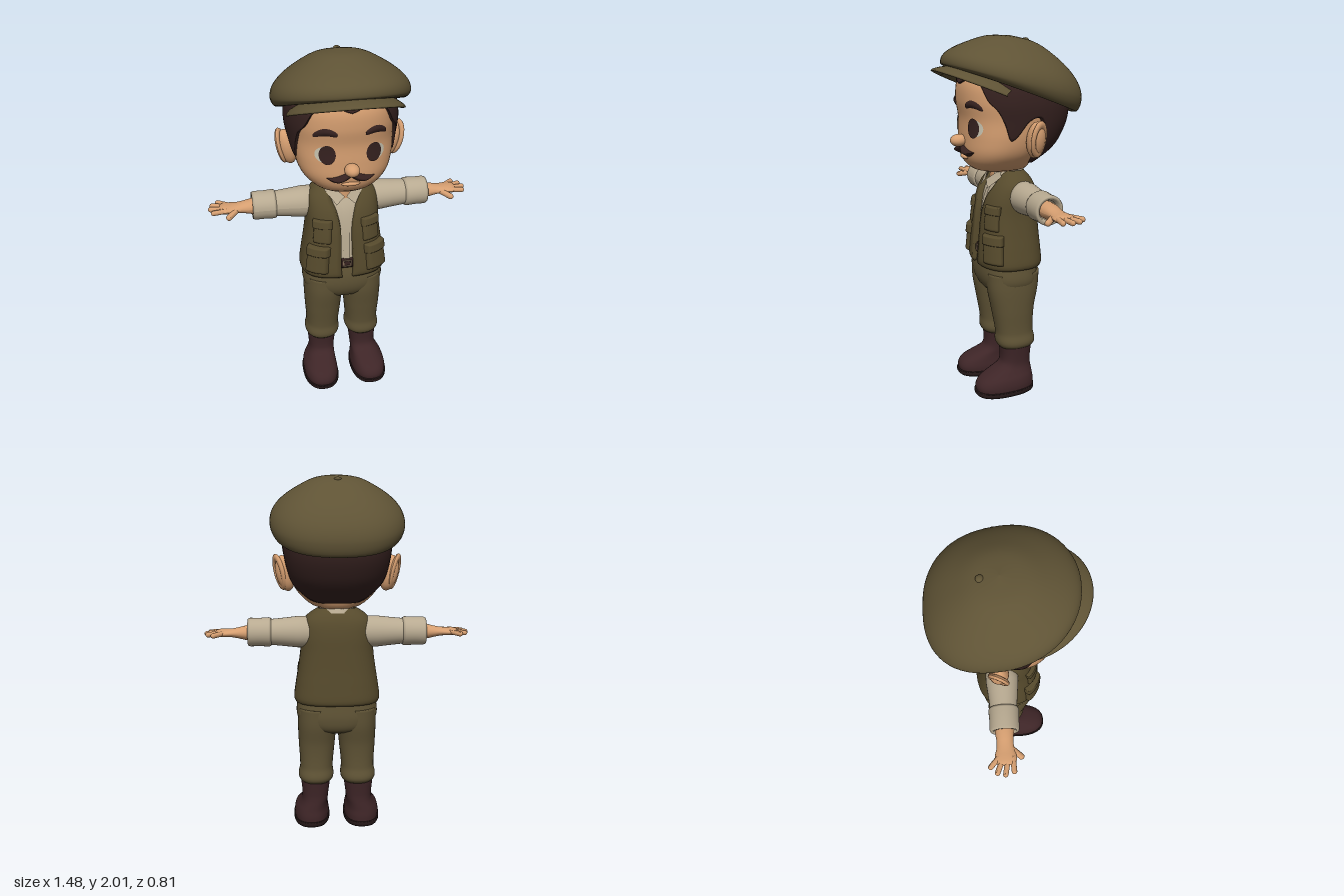
import * as THREE from 'three';

const mat = (name, color, side = THREE.FrontSide) => {
  const m = new THREE.MeshStandardMaterial({ color, side });
  m.name = name;
  return m;
};

// Smooth interpolation of column k in rows sorted by their first value
function sample(rows, y, k) {
  const last = rows.length - 1;
  if (y <= rows[0][0]) return rows[0][k];
  if (y >= rows[last][0]) return rows[last][k];
  let i = 0;
  while (rows[i + 1][0] < y) i++;
  const slope = (j) => {
    const a = rows[Math.max(j - 1, 0)], b = rows[Math.min(j + 1, last)];
    return (b[k] - a[k]) / (b[0] - a[0]);
  };
  const h = rows[i + 1][0] - rows[i][0], t = (y - rows[i][0]) / h, t2 = t * t, t3 = t2 * t;
  return (2 * t3 - 3 * t2 + 1) * rows[i][k] + (t3 - 2 * t2 + t) * h * slope(i)
    + (3 * t2 - 2 * t3) * rows[i + 1][k] + (t3 - t2) * h * slope(i + 1);
}

// Grid surface; fn(u, v) returns [x, y, z]
function grid(fn, nu, nv, closed = false) {
  const pos = [], idx = [], w = closed ? nu : nu + 1;
  for (let j = 0; j <= nv; j++) for (let i = 0; i < w; i++) pos.push(...fn(i / nu, j / nv));
  for (let j = 0; j < nv; j++) for (let i = 0; i < nu; i++) {
    const a = j * w + i, b = j * w + ((i + 1) % w), c = b + w, d = a + w;
    idx.push(a, b, c, a, c, d);
  }
  const g = new THREE.BufferGeometry();
  g.setAttribute('position', new THREE.Float32BufferAttribute(pos, 3));
  g.setIndex(idx);
  g.computeVertexNormals();
  return g;
}

// Profile rows are [y, half width, front z, back z, centre x]; phi runs from +z to +x
const spow = (v, p) => Math.sign(v) * Math.pow(Math.abs(v), p);
function ringPoint(rows, y, phi, n = 2.3, inset = 0) {
  const zf = sample(rows, y, 2), zb = sample(rows, y, 3), cx = rows[0].length > 4 ? sample(rows, y, 4) : 0;
  return [cx + (sample(rows, y, 1) - inset) * spow(Math.sin(phi), 2 / n), y,
    (zf + zb) / 2 + ((zf - zb) / 2 - inset) * spow(Math.cos(phi), 2 / n)];
}
function frontZ(rows, x, y, n = 2.3) {
  const zf = sample(rows, y, 2), zb = sample(rows, y, 3), r = Math.min(Math.abs(x) / sample(rows, y, 1), 1);
  return (zf + zb) / 2 + (zf - zb) / 2 * Math.pow(1 - Math.pow(r, n), 1 / n);
}
// Closed body through a profile, with both ends capped
function loft(rows, n = 2.3, inset = 0, y0 = rows[0][0], y1 = rows[rows.length - 1][0], nv = 36) {
  return grid((u, v) => {
    const j = Math.round(v * (nv + 2)) - 1;
    const y = y0 + (y1 - y0) * Math.min(Math.max(j / nv, 0), 1);
    const p = ringPoint(rows, y, u * Math.PI * 2, n, inset);
    if (j >= 0 && j <= nv) return p;
    const f = ringPoint(rows, y, 0, n, inset), b = ringPoint(rows, y, Math.PI, n, inset);
    return [f[0], y, (f[2] + b[2]) / 2];
  }, 48, nv + 2, true);
}

const HEAD = [[1.285, 0.08, 0.13, -0.09], [1.3, 0.135, 0.185, -0.11], [1.34, 0.19, 0.228, -0.13], [1.4, 0.237, 0.248, -0.16],
  [1.48, 0.262, 0.25, -0.21], [1.58, 0.272, 0.248, -0.26], [1.68, 0.278, 0.262, -0.28], [1.78, 0.265, 0.25, -0.28], [1.86, 0.2, 0.19, -0.22]];
const HAIR = [[1.325, 0.15, 0.2, -0.15], [1.37, 0.2, 0.235, -0.21], [1.42, 0.248, 0.255, -0.26], [1.48, 0.274, 0.262, -0.3],
  [1.58, 0.294, 0.262, -0.338], [1.68, 0.302, 0.274, -0.34], [1.78, 0.28, 0.264, -0.32], [1.86, 0.21, 0.2, -0.23]];
const HAIRLINE = [[0, 1.765], [10, 1.785], [28, 1.79], [38, 1.76], [46, 1.69], [56, 1.64], [64, 1.56], [72, 1.485], [78, 1.5],
  [86, 1.58], [96, 1.6], [102, 1.54], [108, 1.38], [125, 1.335], [180, 1.33]];
const VEST = [[0.755, 0.237, 0.18, -0.175], [0.775, 0.245, 0.186, -0.181], [0.85, 0.236, 0.182, -0.176], [0.95, 0.22, 0.173, -0.167],
  [1.05, 0.207, 0.162, -0.16], [1.15, 0.203, 0.14, -0.152], [1.22, 0.19, 0.104, -0.136], [1.265, 0.148, 0.065, -0.11], [1.29, 0.105, 0.04, -0.085]];
const OPENING = [[0.755, 0.03], [0.8, 0.036], [1.05, 0.036], [1.15, 0.058], [1.22, 0.085], [1.29, 0.07]];
const HIPS = [[0.575, 0.1, 0.09, -0.1], [0.6, 0.18, 0.13, -0.14], [0.66, 0.227, 0.162, -0.158], [0.74, 0.228, 0.168, -0.155], [0.84, 0.205, 0.15, -0.145]];
const LEG = [[0.268, 0.082, 0.085, -0.1, 0.122], [0.285, 0.097, 0.1, -0.118, 0.122], [0.31, 0.102, 0.106, -0.122, 0.122],
  [0.36, 0.095, 0.104, -0.112, 0.12], [0.5, 0.105, 0.128, -0.118, 0.117], [0.62, 0.112, 0.15, -0.142, 0.114], [0.72, 0.112, 0.155, -0.15, 0.112]];
const BOOT = [[0.025, 0.1, 0.238, -0.105, 0.148], [0.06, 0.101, 0.24, -0.105, 0.148], [0.095, 0.094, 0.218, -0.1, 0.146],
  [0.125, 0.083, 0.165, -0.097, 0.138], [0.155, 0.076, 0.102, -0.094, 0.13], [0.19, 0.076, 0.08, -0.093, 0.127], [0.288, 0.087, 0.083, -0.101, 0.125]];
const SOLE = [[0, 0.1, 0.236, -0.103, 0.148], [0.012, 0.106, 0.246, -0.108, 0.148], [0.032, 0.106, 0.246, -0.108, 0.148]];
const CROWN = [[0.6, 0], [0.8, -0.035], [0.93, -0.042], [1, 0], [0.965, 0.06], [0.83, 0.12], [0.6, 0.18], [0.33, 0.228], [0, 0.245]];

export function createModel() {
  const root = new THREE.Group();
  const olive = mat('olive cloth', 0x5f5335), vestOlive = mat('vest cloth', 0x564a2c, THREE.DoubleSide);
  const linen = mat('linen', 0xb8aa91, THREE.DoubleSide), skin = mat('skin', 0xd59e70);
  const hairBrown = mat('dark hair', 0x35211f, THREE.DoubleSide), leather = mat('boot leather', 0x3e2527);
  const rubber = mat('sole', 0x261919), white = mat('eye white', 0xc9c4b0), brass = mat('buckle', 0x86705a);

  const add = (name, geo, m) => {
    const mesh = new THREE.Mesh(geo, m);
    mesh.name = name;
    root.add(mesh);
  };
  // Adds a part on the +x side and its mirror image
  const pair = (name, geo, m) => {
    add(name + 'Left', geo, m);
    const g = geo.clone().scale(-1, 1, 1), ix = g.index.array;
    for (let i = 0; i < ix.length; i += 3) [ix[i], ix[i + 1]] = [ix[i + 1], ix[i]];
    g.computeVertexNormals();
    add(name + 'Right', g, m);
  };
  const ball = (x, y, z, sx, sy, sz, rz = 0) =>
    new THREE.SphereGeometry(1, 28, 18).scale(sx, sy, sz).rotateZ(rz).translate(x, y, z);

  // Head, nose, lip, ears, neck
  add('head', loft(HEAD), skin);
  add('nose', ball(0, 1.462, 0.272, 0.04, 0.034, 0.048), skin);
  add('lip', ball(0, 1.372, 0.24, 0.05, 0.012, 0.016), skin);
  pair('ear', ball(0.287, 1.485, -0.052, 0.05, 0.1, 0.05, -0.22), skin);
  pair('earRim', new THREE.TorusGeometry(0.045, 0.013, 10, 28).scale(1, 1.75, 1).rotateY(Math.PI / 2 + 0.45)
    .rotateZ(-0.22).translate(0.317, 1.492, -0.055), skin);
  add('neck', new THREE.CylinderGeometry(0.075, 0.08, 0.18, 28).translate(0, 1.27, 0.005), skin);

  // Hair shell with a cut hairline and sideburns
  add('hair', grid((u, v) => {
    const phi = u * Math.PI * 2, deg = 180 - Math.abs(180 - u * 360), low = sample(HAIRLINE, deg, 1);
    const t = Math.max(0, (v * 25 - 1) / 24);
    return ringPoint(HAIR, low + (1.86 - low) * t, phi, 2.3, v === 0 ? 0.045 : 0);
  }, 144, 25, true), hairBrown);

  // Painted face details that hug the head
  const faceStrip = (x0, x1, mid, half, lift, bulge = 0) => grid((u, v) => {
    const s = 0.5 - 0.5 * Math.cos(u * Math.PI), x = x0 + (x1 - x0) * s, y = mid(s) + half(s) * (2 * v - 1);
    return [x, y, frontZ(HEAD, x, y) + lift + bulge * Math.sin(v * Math.PI) * Math.sin(s * Math.PI * 0.85 + 0.3)];
  }, 22, 8);
  const oval = (s) => Math.sqrt(Math.max(0, 1 - (2 * s - 1) ** 2));
  pair('eyeWhite', faceStrip(0.08, 0.182, () => 1.54, (s) => 0.044 * oval(s), 0.003), white);
  pair('eye', faceStrip(0.08, 0.163, () => 1.54, (s) => 0.052 * oval(s), 0.006), hairBrown);
  pair('eyebrow', faceStrip(0.072, 0.19, (s) => 1.652 + 0.028 * Math.sin(s * 2.6) - 0.024 * s,
    (s) => 0.02 * Math.pow(oval(s), 0.6), 0.004, 0.008), hairBrown);
  pair('moustache', faceStrip(0, 0.126, (s) => 1.432 - 0.03 * Math.sin(s * 2.4),
    (s) => 0.008 + 0.018 * Math.sin(Math.PI * Math.min(1, s * 0.85 + 0.15)) - 0.008 * s, 0.003, 0.03), hairBrown);

  // Flat cap: tilted crown, brim, button
  const crownCurve = new THREE.SplineCurve(CROWN.map(([s, h]) => new THREE.Vector2(s, h)));
  add('capCrown', grid((u, v) => {
    const { x: s, y: h } = crownCurve.getPoint(v), phi = u * Math.PI * 2, c = Math.cos(phi), e = 2 / (c > 0 ? 2.05 : 2.4);
    const d = s * spow(c, e);
    return [0.366 * s * spow(Math.sin(phi), e), 1.765 + 0.105 * d + h * (1 - (h < 0 ? 0.8 : 0.22) * d), -0.03 + 0.376 * d];
  }, 64, 40, true), olive);
  add('capBrim', grid((u, v) => {
    const w = u * Math.PI * 2, a = (1 - 2 * v) * 1.48, k = 0.5 + 0.5 * Math.cos(w);
    const rx = 0.25 + 0.06 * k, z = 0.03 + 0.06 * k + (0.19 + 0.125 * k) * Math.cos(a);
    return [rx * Math.sin(a), 1.837 - 0.125 * (1 - Math.cos(a)) + 0.012 * (1 - k) + 0.015 * Math.sin(w), z];
  }, 16, 40, true), olive);
  add('capButton', ball(0, 1.985, -0.12, 0.02, 0.013, 0.02), olive);

  // Shirt, placket, collar
  add('shirt', loft(VEST, 2.6, 0.03, 0.8), linen);
  add('placket', grid((u, v) => {
    const x = (u - 0.5) * 0.036, y = 0.86 + 0.35 * v;
    return [x, y, frontZ(VEST, x, y, 2.6) - 0.023];
  }, 2, 16), linen);
  add('collarBand', grid((u, v) => {
    const phi = 0.45 + u * (Math.PI * 2 - 0.9), r = 0.112 - 0.022 * v, z = r * Math.cos(phi);
    return [r * Math.sin(phi), 1.245 + 0.05 * v - 0.22 * z, z];
  }, 40, 3), linen);
  const flap = new THREE.Shape([[0.004, 1.235], [0.052, 1.192], [0.108, 1.262], [0.084, 1.298]].map((p) => new THREE.Vector2(...p)));
  const flapGeo = new THREE.ShapeGeometry(flap), fp = flapGeo.attributes.position;
  for (let i = 0; i < fp.count; i++) {
    const x = fp.getX(i), y = fp.getY(i);
    fp.setZ(i, 0.138 - 0.5 * (y - 1.19) - 3 * x * x);
  }
  flapGeo.computeVertexNormals();
  pair('collarFlap', flapGeo, linen);

  // Open vest with turned-in edges
  add('vest', grid((u, v) => {
    const j = v * 37 - 1, i = u * 66 - 1, y = 0.755 + 0.535 * Math.max(0, j / 36);
    const ratio = Math.min(0.95, sample(OPENING, y, 1) / sample(VEST, y, 1));
    const phi0 = Math.asin(Math.pow(ratio, 1.3)), t = Math.min(1, Math.max(0, i / 64));
    const turned = j < -0.5 || i < -0.5 || i > 64.5;
    return ringPoint(VEST, y, phi0 + t * (Math.PI * 2 - 2 * phi0), 2.6, turned ? 0.028 : 0);
  }, 66, 37), vestOlive);

  // Raised vest pockets and their flaps
  const pad = (y0, y1, a0, a1, lift) => grid((u, v) => {
    const soft = (t) => Math.min(1, Math.min(t, 1 - t) * 9);
    const out = lift * Math.sqrt(soft(u) * soft(v));
    return ringPoint(VEST, y0 + (y1 - y0) * v, a0 + (a1 - a0) * u, 2.6, 0.004 - out);
  }, 20, 20);
  pair('lowerPocket', pad(0.785, 0.92, 0.36, 1.1, 0.024), vestOlive);
  pair('lowerPocketFlap', pad(0.895, 0.955, 0.33, 1.13, 0.032), vestOlive);
  pair('upperPocket', pad(0.97, 1.085, 0.32, 0.95, 0.016), vestOlive);
  pair('upperPocketFlap', pad(1.06, 1.112, 0.29, 0.98, 0.023), vestOlive);

  // Belt and buckle
  add('belt', loft(VEST, 2.6, 0.02, 0.81, 0.865, 4), hairBrown);
  add('buckle', new THREE.TorusGeometry(0.024, 0.005, 8, 4).rotateZ(Math.PI / 4).scale(1.25, 1, 1).translate(0, 0.838, 0.167), brass);

  // Trousers and boots
  add('trouserHips', loft(HIPS, 2.5), olive);
  pair('trouserLeg', loft(LEG, 2.3), olive);
  pair('boot', loft(BOOT, 2.4), leather);
  pair('bootSole', loft(SOLE, 2.4, 0, 0, 0.032, 6), rubber);

  // Sleeves with rolled cuffs, turned about the arm axis
  const alongArm = (pts) => new THREE.LatheGeometry(pts.map((p) => new THREE.Vector2(...p)), 32).rotateZ(-Math.PI / 2);
  pair('sleeve', alongArm([[0.07, 0.12], [0.088, 0.17], [0.088, 0.22], [0.08, 0.29], [0.073, 0.36], [0.07, 0.4]])
    .translate(0, 1.155, -0.035), linen);
  pair('cuff', alongArm([[0.06, 0.365], [0.077, 0.368], [0.082, 0.38], [0.079, 0.43], [0.08, 0.485], [0.074, 0.498],
    [0.06, 0.496], [0.05, 0.47]]).translate(0, 1.155, -0.035), linen);

  // Forearm flattening into the palm, then fingers and thumb
  const hand = alongArm([[0.052, 0.44], [0.05, 0.5], [0.044, 0.55], [0.046, 0.585], [0.056, 0.62], [0.058, 0.65], [0.045, 0.672], [0, 0.68]]);
  const hp = hand.attributes.position;
  for (let i = 0; i < hp.count; i++) hp.setY(i, hp.getY(i) * (0.85 - 0.47 * THREE.MathUtils.smoothstep(hp.getX(i), 0.5, 0.63)));
  hand.computeVertexNormals();
  pair('hand', hand.translate(0, 1.152, -0.037), skin);
  const finger = (a, b, r) => {
    const p = new THREE.Vector3(...a), q = new THREE.Vector3(...b), d = q.clone().sub(p);
    const turn = new THREE.Quaternion().setFromUnitVectors(new THREE.Vector3(0, 1, 0), d.clone().normalize());
    const mid = p.add(q).multiplyScalar(0.5);
    return new THREE.CapsuleGeometry(r, d.length(), 6, 12).applyQuaternion(turn).translate(mid.x, mid.y, mid.z);
  };
  [[-0.075, 0.682, -0.118], [-0.05, 0.714, -0.084], [-0.024, 0.724, -0.042], [0, 0.71, 0.004]].forEach(([z, x, tip], i) =>
    pair('finger' + (i + 1), finger([0.635, 1.155, z], [x, 1.15, tip], 0.0145), skin));
  pair('thumb', finger([0.585, 1.148, -0.008], [0.63, 1.135, 0.045], 0.0165), skin);

  return root;
}
